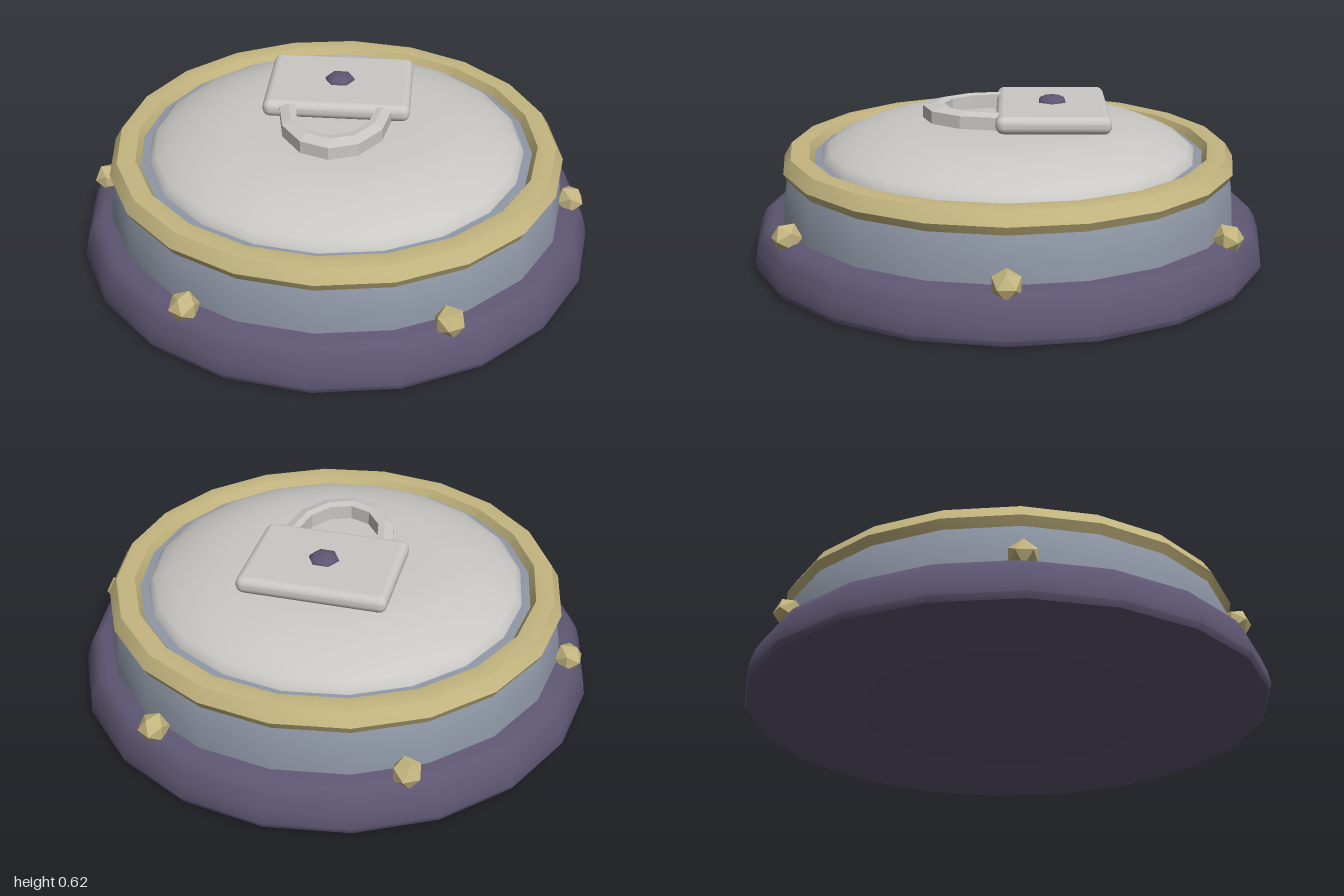
import * as THREE from 'three';
import { toCreasedNormals } from 'three/addons/utils/BufferGeometryUtils.js';
import { RoundedBoxGeometry } from 'three/addons/geometries/RoundedBoxGeometry.js';

const material = (name, color) => {
  const m = new THREE.MeshStandardMaterial({ color });
  m.name = name;
  return m;
};

export function createModel() {
  const group = new THREE.Group();
  const purple = material('dark purple', 0x5e5672);
  const slate = material('slate blue', 0x8f97a6);
  const gold = material('pale gold', 0xc4b680);
  const silver = material('light grey', 0xcac8c5);

  const add = (name, geometry, mat, x = 0, y = 0, z = 0) => {
    const mesh = new THREE.Mesh(geometry, mat);
    mesh.name = name;
    mesh.position.set(x, y, z);
    group.add(mesh);
    return mesh;
  };

  // Profile of [radius, height] pairs turned around y, with creased edges
  const turned = (profile, crease = 0.6, segments = 20, start = 0, sweep = Math.PI * 2) =>
    toCreasedNormals(new THREE.LatheGeometry(
      profile.map(([r, y]) => new THREE.Vector2(r, y)), segments, start, sweep), crease);

  // Wide foot with rounded sides
  add('base', turned([[0, 0], [0.965, 0], [0.99, 0.008], [1, 0.03], [0.992, 0.08],
    [0.975, 0.13], [0.955, 0.163], [0.925, 0.18], [0, 0.18]]), purple);

  // Drum wall, closed just below the rim
  add('body', turned([[0.885, 0.17], [0.88, 0.25], [0.865, 0.33], [0.845, 0.385],
    [0.73, 0.4], [0.6, 0.4]]), slate);

  // Bevelled rim
  add('rim', turned([[0.74, 0.345], [0.86, 0.345], [0.878, 0.378], [0.848, 0.428],
    [0.81, 0.432], [0.778, 0.428], [0.748, 0.378], [0.74, 0.345]], 0.4), gold);

  // Shallow domed lid
  add('lid', turned([[0.73, 0.385], [0.722, 0.415], [0.7, 0.435], [0.65, 0.462],
    [0.58, 0.49], [0.5, 0.513], [0.42, 0.526], [0.33, 0.531], [0, 0.533]], 1.0), silver);

  // Six rivets around the foot
  for (let i = 0; i < 6; i++) {
    const a = i * Math.PI / 3;
    const rivet = add('rivet', new THREE.IcosahedronGeometry(0.058, 0), gold,
      0.92 * Math.cos(a), 0.195, 0.92 * Math.sin(a));
    rivet.geometry = toCreasedNormals(rivet.geometry, 0.5);
    rivet.rotation.y = -a;
  }

  // Padlock lying flat on the lid
  add('lockBody', new RoundedBoxGeometry(0.565, 0.067, 0.43, 3, 0.03), silver, 0, 0.562, -0.17);
  const shackle = add('shackle', turned([[0.155, 0.525], [0.215, 0.525], [0.215, 0.58],
    [0.18, 0.592], [0.155, 0.587], [0.155, 0.525]], 0.1, 6, -Math.PI / 2, Math.PI),
  silver, 0, 0, 0.03);
  shackle.scale.z = 1.4;
  add('keyhole', new THREE.SphereGeometry(0.062, 6, 6), purple, 0, 0.59, -0.17).scale.y = 0.5;

  return group;
}
